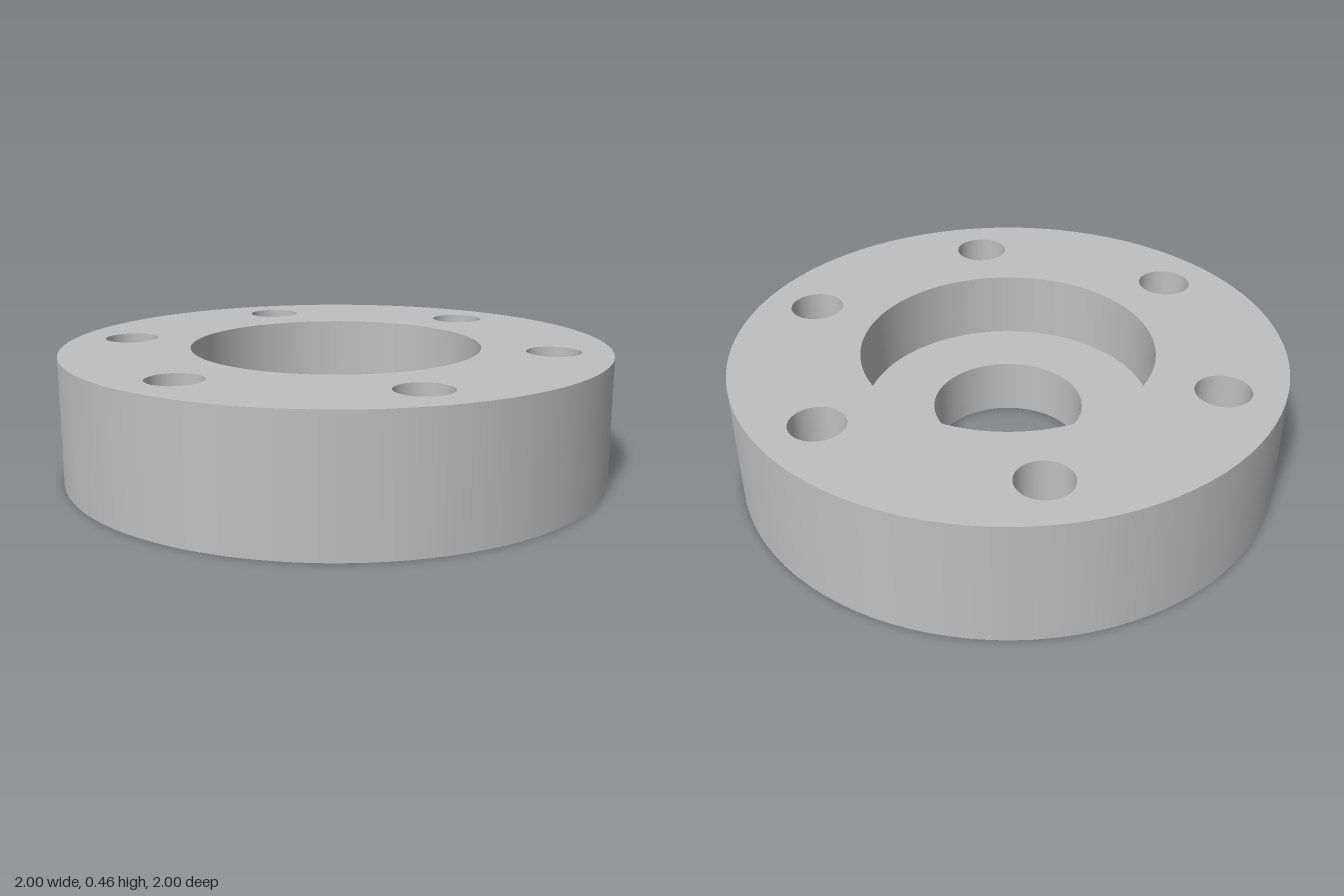
import * as THREE from 'three';

const SEGMENTS = 96;
const HEIGHT = 0.46, FLOOR = 0.21;
const OUTER = 1, RECESS = 0.532, BORE = 0.276;
const BOLT_CIRCLE = 0.79, BOLT = 0.098;

const boltCentres = Array.from({ length: 6 }, (_, i) => {
  const a = Math.PI / 6 + (i * Math.PI) / 3;
  return [BOLT_CIRCLE * Math.cos(a), BOLT_CIRCLE * Math.sin(a)];
});

export function createModel() {
  const group = new THREE.Group();
  const steel = new THREE.MeshStandardMaterial({ color: 0xbfbfbf });
  steel.name = 'grey steel';

  const add = (name, geometry) => {
    const mesh = new THREE.Mesh(geometry, steel);
    mesh.name = name;
    group.add(mesh);
    return mesh;
  };

  // Round wall; it faces outward when y0 < y1 and inward when y0 > y1
  const wall = (name, r, y0, y1) =>
    add(name, new THREE.LatheGeometry([new THREE.Vector2(r, y0), new THREE.Vector2(r, y1)], SEGMENTS));

  // Flat ring facing up or down, optionally pierced by the bolt holes
  const ring = (name, outer, inner, y, up, bolts) => {
    const shape = new THREE.Shape().absarc(0, 0, outer, 0, Math.PI * 2, false);
    const pierce = (x, z, r) => shape.holes.push(new THREE.Path().absarc(x, z, r, 0, Math.PI * 2, true));
    pierce(0, 0, inner);
    if (bolts) boltCentres.forEach(([x, z]) => pierce(x, z, BOLT));
    const geometry = new THREE.ShapeGeometry(shape, SEGMENTS / 2);
    geometry.rotateX(up ? -Math.PI / 2 : Math.PI / 2);
    geometry.translate(0, y, 0);
    add(name, geometry);
  };

  // Flange body
  wall('outerRim', OUTER, 0, HEIGHT);
  ring('topFace', OUTER, RECESS, HEIGHT, true, true);
  ring('bottomFace', OUTER, BORE, 0, false, true);

  // Stepped centre bore
  wall('recessWall', RECESS, HEIGHT, FLOOR);
  ring('recessFloor', RECESS, BORE, FLOOR, true, false);
  wall('boreWall', BORE, FLOOR, 0);

  // Bolt holes
  boltCentres.forEach(([x, z], i) => wall(`boltHole${i + 1}`, BOLT, HEIGHT, 0).position.set(x, 0, z));

  return group;
}
